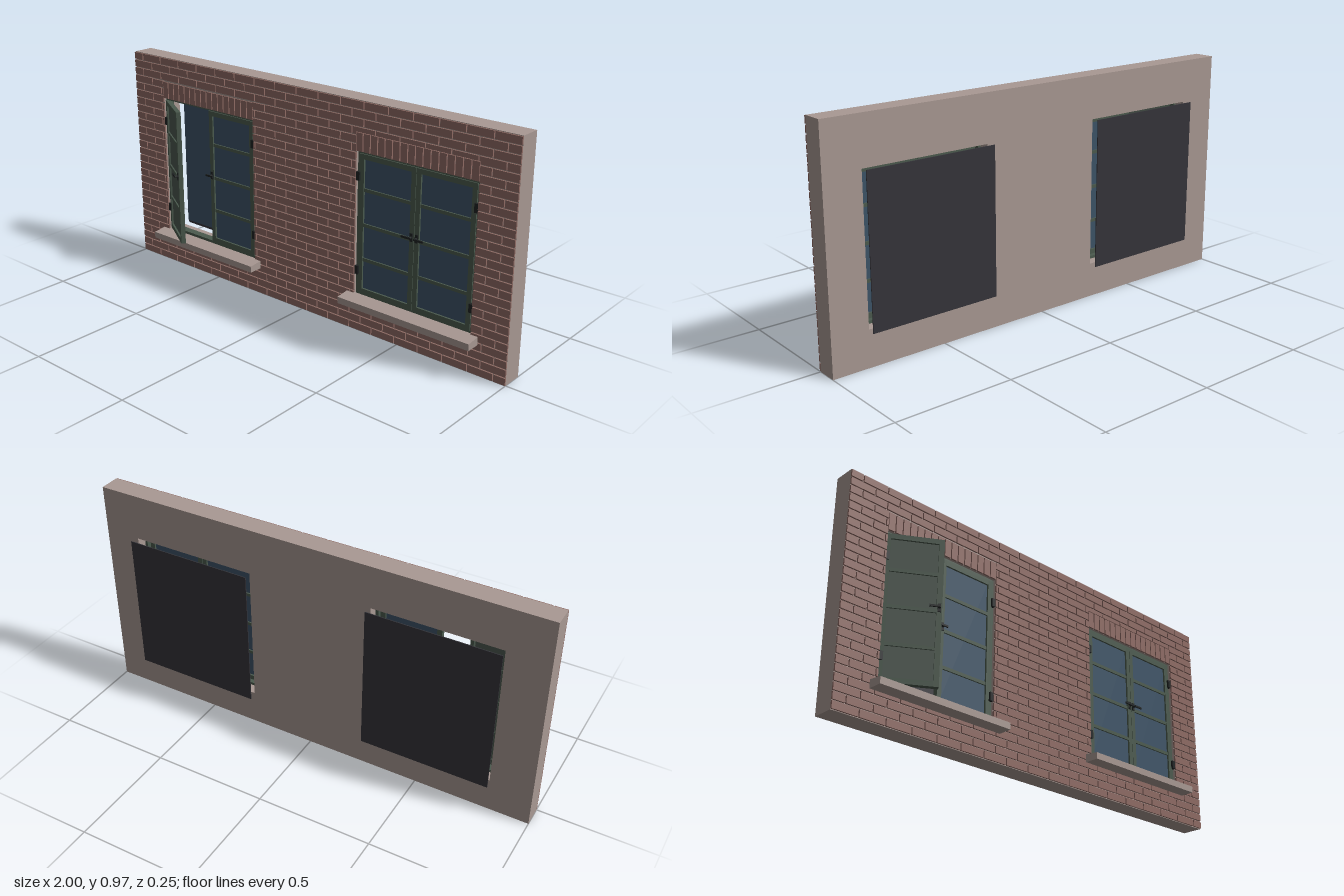
import * as THREE from 'three';
import { mergeGeometries } from 'three/addons/utils/BufferGeometryUtils.js';

const mat = (name, color, side = THREE.FrontSide) => {
  const m = new THREE.MeshStandardMaterial({ color, side });
  m.name = name;
  return m;
};

export function createModel() {
  const stone = mat('stone', 0xa99993);
  const brick = mat('brick', 0x8f6b64);
  const frameGreen = mat('frame green', 0x4b5a4e);
  const panelGreen = mat('panel green', 0x4c574f);
  const glass = mat('glass blue', 0x3d5468);
  const iron = mat('iron', 0x1e2223);
  const backing = mat('dark backing', 0x35343a);

  const WALL_H = 0.972, DEPTH = 0.09, RELIEF = 0.007, JOINT = 0.005;
  const ROWS = 28, PITCH = WALL_H / ROWS, BRICK_L = 0.1147;
  const LINTEL_H = 0.077;
  const openings = [
    { x0: -0.82, x1: -0.27, y0: 0.15, y1: 0.787, sill: 0.12, open: true },
    { x0: 0.28, x1: 0.84, y0: 0.155, y1: 0.77, sill: 0.128, open: false },
  ];

  const model = new THREE.Group();
  model.name = 'brickWallWithWindows';

  // Box given by its two corners
  const boxGeo = (x0, x1, y0, y1, z0, z1) =>
    new THREE.BoxGeometry(x1 - x0, y1 - y0, z1 - z0)
      .translate((x0 + x1) / 2, (y0 + y1) / 2, (z0 + z1) / 2);
  const add = (parent, name, geo, material) => {
    const m = new THREE.Mesh(geo, material);
    m.name = name;
    parent.add(m);
    return m;
  };

  // Wall core with the two openings cut out
  const wall = new THREE.Shape([[-1, 0], [1, 0], [1, WALL_H], [-1, WALL_H]].map(p => new THREE.Vector2(...p)));
  for (const o of openings) {
    wall.holes.push(new THREE.Path([[o.x0, o.y0], [o.x0, o.y1], [o.x1, o.y1], [o.x1, o.y0]]
      .map(p => new THREE.Vector2(...p))));
  }
  add(model, 'wallCore',
    new THREE.ExtrudeGeometry(wall, { depth: DEPTH, bevelEnabled: false }).translate(0, 0, -DEPTH), stone);

  // Brick facing: running bond, each brick trimmed around windows and lintels
  const cut = (r, c) => {
    const [a, b, y, t] = r;
    if (b <= c.x0 || a >= c.x1 || t <= c.y0 || y >= c.y1) return [r];
    const lo = Math.max(y, c.y0), hi = Math.min(t, c.y1);
    return [[a, b, y, lo], [a, b, hi, t], [a, c.x0, lo, hi], [c.x1, b, lo, hi]]
      .filter(([p, q, s, u]) => q - p > 0.003 && u - s > 0.003);
  };
  const bricks = [];
  for (let row = 0; row < ROWS; row++) {
    const y = row * PITCH;
    for (let x = -1 - (row % 2) * BRICK_L / 2; x < 1; x += BRICK_L) {
      const a = Math.max(-1, x), b = Math.min(1, x + BRICK_L - JOINT);
      if (b - a < 0.003) continue;
      let pieces = [[a, b, y + JOINT / 2, y + PITCH - JOINT / 2]];
      for (const o of openings) {
        const c = { x0: o.x0, x1: o.x1, y0: o.y0, y1: o.y1 + LINTEL_H };
        pieces = pieces.flatMap(p => cut(p, c));
      }
      for (const p of pieces) bricks.push(boxGeo(...p, 0, RELIEF));
    }
  }
  add(model, 'brickFacing', mergeGeometries(bricks), brick);

  // One sash: hinge edge at x = 0, extending to +x, centred on z = 0
  const sash = (name, w, h, paneMat) => {
    const g = new THREE.Group();
    g.name = name;
    const s = 0.021, t = 0.01;
    const parts = [
      boxGeo(0, s, 0, h, -t, t), boxGeo(w - s, w, 0, h, -t, t),
      boxGeo(s, w - s, 0, s, -t, t), boxGeo(s, w - s, h - s, h, -t, t),
    ];
    for (let i = 1; i < 4; i++) {
      const y = h * i / 4;
      parts.push(boxGeo(s, w - s, y - 0.007, y + 0.007, -t * 0.8, t * 0.8));
    }
    add(g, 'sashFrame', mergeGeometries(parts), frameGreen);
    add(g, 'pane', boxGeo(s, w - s, s, h - s, -0.002, 0.002), paneMat);
    return g;
  };

  // Lever handle: dir is the side the lever points to
  const handle = (parent, x, y, z, dir) => {
    const knob = new THREE.CylinderGeometry(0.005, 0.005, 0.016, 10).rotateX(Math.PI / 2).translate(x, y, z + 0.008);
    const lever = new THREE.BoxGeometry(0.042, 0.008, 0.006).translate(x + dir * 0.018, y, z + 0.015);
    const plate = new THREE.BoxGeometry(0.012, 0.034, 0.004).translate(x, y, z + 0.002);
    add(parent, 'handle', mergeGeometries([knob, lever, plate].map(g => g.toNonIndexed())), iron);
  };

  for (const o of openings) {
    const g = new THREE.Group();
    g.name = o.open ? 'openWindow' : 'closedWindow';
    model.add(g);
    const { x0, x1, y0, y1 } = o;
    const f = 0.012, w = (x1 - x0) / 2 - f - 0.001, h = y1 - y0 - 2 * f;
    const mid = (x0 + x1) / 2, z = -0.015, hy = y0 + h * 0.53;

    // Soldier course above the window
    const n = 16, step = (x1 - x0) / n, soldiers = [];
    for (let i = 0; i < n; i++) {
      soldiers.push(boxGeo(x0 + i * step + JOINT / 2, x0 + (i + 1) * step - JOINT / 2,
        y1, y1 + LINTEL_H - JOINT / 2, 0, RELIEF));
    }
    add(g, 'lintelBricks', mergeGeometries(soldiers), brick);

    // Sill with a sloping top
    const profile = new THREE.Shape([[0, 0], [0.068, 0], [0.068, 0.028], [0, 0.036]].map(p => new THREE.Vector2(...p)));
    add(g, 'sill', new THREE.ExtrudeGeometry(profile, { depth: x1 - x0 + 0.066, bevelEnabled: false })
      .rotateY(-Math.PI / 2).translate(x1 + 0.033, o.sill, 0)
      .applyMatrix4(new THREE.Matrix4()), stone);

    // Fixed outer frame
    add(g, 'outerFrame', mergeGeometries([
      boxGeo(x0, x0 + f, y0, y1, -0.045, -0.01), boxGeo(x1 - f, x1, y0, y1, -0.045, -0.01),
      boxGeo(x0 + f, x1 - f, y0, y0 + f, -0.045, -0.01), boxGeo(x0 + f, x1 - f, y1 - f, y1, -0.045, -0.01),
    ]), frameGreen);

    // Sashes; the one on the -x side may stand ajar
    const a = sash('rightSash', o.open ? 0.225 : w, h, o.open ? panelGreen : glass);
    a.position.set(x0 + (o.open ? 0.005 : f), y0 + f, z);
    if (o.open) a.rotation.y = -THREE.MathUtils.degToRad(31);
    handle(a, (o.open ? 0.225 : w) - 0.011, h * 0.52, 0.01, -1);
    g.add(a);
    const b = sash('leftSash', w, h, glass);
    b.position.set(mid + 0.001, y0 + f, z);
    handle(b, 0.011, h * 0.52, 0.01, o.open ? -0.2 : 1);
    g.add(b);

    // Hinges
    for (const hx of [x0 + 0.009, x1 - 0.009]) {
      for (const k of [0.18, 0.83]) {
        const y = y0 + (y1 - y0) * k;
        add(g, 'hinge', boxGeo(hx - 0.008, hx + 0.008, y - 0.018, y + 0.018, -0.012, 0.004), iron);
      }
    }

    // Detached pane behind the open sash
    if (o.open) add(g, 'loosePane', boxGeo(x0 + 0.01, -0.58, 0.168, 0.772, -0.109, -0.107), glass);

    // Dark sheet behind the wall
    add(g, 'backSheet', boxGeo(x0 - 0.006, x1 + 0.005, y0 - 0.003, y1 + 0.004, -0.13, -0.126), backing);
  }
  return model;
}
